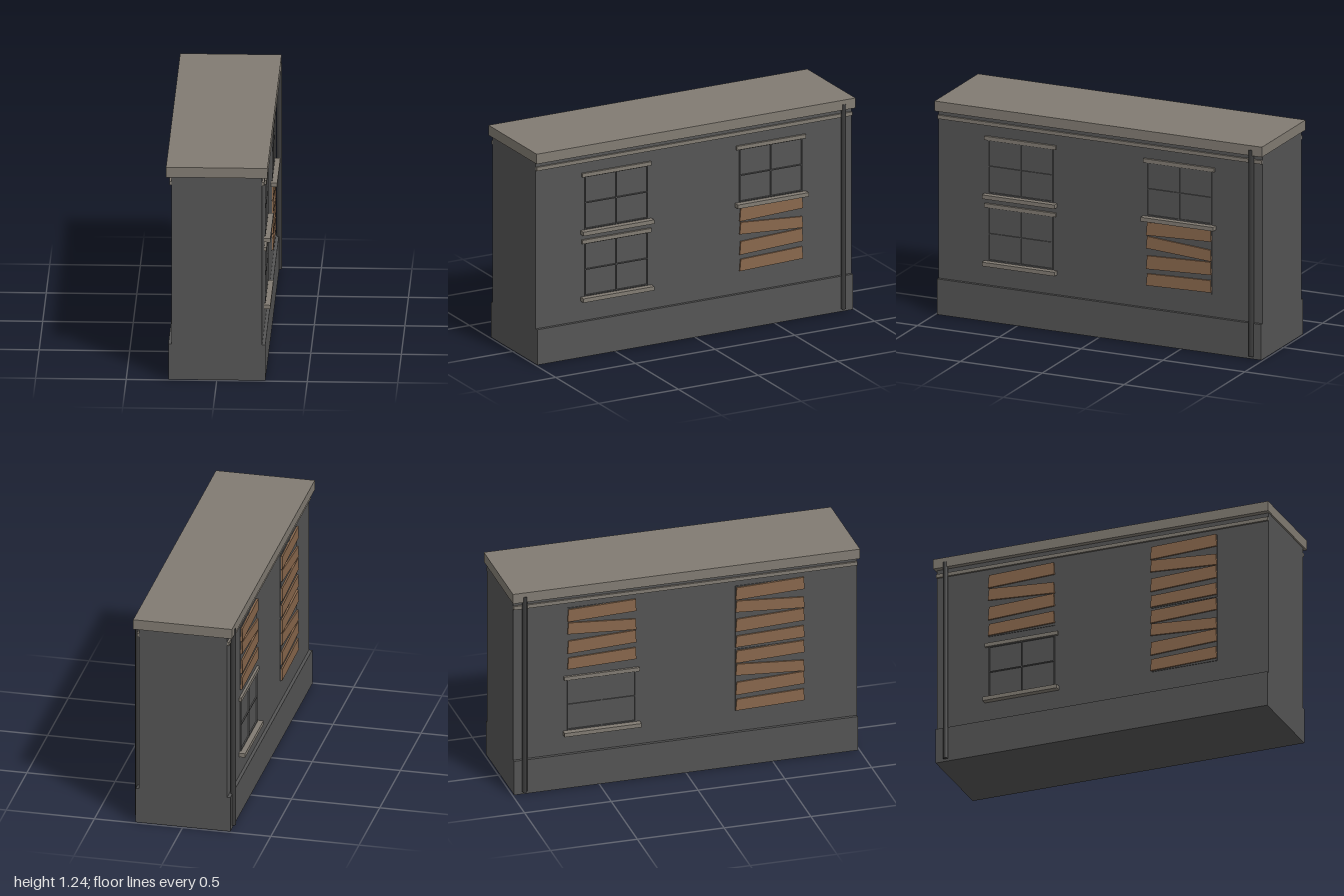
import * as THREE from 'three';

const material = (name, color) => {
  const m = new THREE.MeshStandardMaterial({ color });
  m.name = name;
  return m;
};

export function createModel() {
  const brick = material('dark grey wall', 0x545454);
  const stone = material('weathered stone', 0x817b72);
  const timber = material('board timber', 0x88674c);
  const iron = material('dark iron', 0x3c3c3c);

  const model = new THREE.Group();
  model.name = 'building';

  // Box given by its limits on each axis
  const box = (parent, name, mat, [x0, x1], [y0, y1], [z0, z1]) => {
    const mesh = new THREE.Mesh(new THREE.BoxGeometry(x1 - x0, y1 - y0, z1 - z0), mat);
    mesh.position.set((x0 + x1) / 2, (y0 + y1) / 2, (z0 + z1) / 2);
    mesh.name = name;
    parent.add(mesh);
    return mesh;
  };
  // Limits measured outward from the long wall on one side
  const out = (side, a, b) => (side > 0 ? [a, b] : [-b, -a]);

  // Main masses
  box(model, 'walls', brick, [-0.25, 0.25], [0.206, 1.178], [-0.99, 0.99]);
  box(model, 'plinth', brick, [-0.268, 0.268], [0, 0.206], [-0.99, 0.99]);
  box(model, 'roofSlab', stone, [-0.28, 0.28], [1.178, 1.236], [-1, 1]);

  // Pane frame with one upright and one crossbar, lintel above and sill below
  function addWindow(side, z, y) {
    const g = new THREE.Group();
    g.name = 'window';
    const w = 0.198, h = 0.31, t = 0.006;
    const depth = out(side, 0.249, 0.257);
    for (const u of [-w + t / 2, 0, w - t / 2]) {
      box(g, 'frameUpright', brick, depth, [y, y + h], [z + u - t / 2, z + u + t / 2]);
    }
    for (const v of [t / 2, h / 2, h - t / 2]) {
      box(g, 'frameBar', brick, depth, [y + v - t / 2, y + v + t / 2], [z - w, z + w]);
    }
    box(g, 'lintel', stone, out(side, 0.249, 0.264), [y + h - 0.002, y + h + 0.02], [z - 0.217, z + 0.217]);
    box(g, 'sill', stone, out(side, 0.249, 0.285), [y - 0.027, y - 0.004], [z - 0.222, z + 0.222]);
    model.add(g);
  }

  // Crooked boards: bottom and top heights at the front end, then at the rear end
  const boardHeights = [
    [0.0, 0.068, 0.01, 0.08],
    [0.095, 0.172, 0.112, 0.186],
    [0.215, 0.284, 0.19, 0.255],
    [0.29, 0.365, 0.304, 0.376],
  ];
  function addBoards(side, z, y) {
    const g = new THREE.Group();
    g.name = 'boardedWindow';
    const w = 0.198;
    box(g, 'backing', brick, out(side, 0.249, 0.254), [y - 0.004, y + 0.372], [z - w, z + w]);
    for (const [b0, t0, b1, t1] of boardHeights) {
      const shape = new THREE.Shape();
      shape.moveTo(-w, b0);
      shape.lineTo(w, b1);
      shape.lineTo(w - 0.004, t1);
      shape.lineTo(-w + 0.006, t0);
      const geo = new THREE.ExtrudeGeometry(shape, { depth: 0.01, bevelEnabled: false });
      const board = new THREE.Mesh(geo, timber);
      board.name = 'board';
      board.rotation.y = side * Math.PI / 2;
      board.position.set(side * 0.253, y, z);
      g.add(board);
    }
    model.add(g);
  }

  const LOW = 0.349, HIGH = 0.738;
  const BOARD_LOW = 0.337, BOARD_HIGH = 0.724;

  // Left wall: three windows and one boarded opening
  addWindow(1, 0.487, LOW);
  addWindow(1, 0.487, HIGH);
  addWindow(1, -0.482, HIGH);
  addBoards(1, -0.482, BOARD_LOW);

  // Right wall: one window and three boarded openings
  addWindow(-1, -0.482, LOW);
  addBoards(-1, -0.482, BOARD_HIGH);
  addBoards(-1, 0.487, BOARD_LOW);
  addBoards(-1, 0.487, BOARD_HIGH);

  // Cornice strip and drainpipe on both long walls
  for (const side of [1, -1]) {
    box(model, 'cornice', stone, out(side, 0.249, 0.262), [1.13, 1.151], [-0.99, 0.99]);

    const pipe = new THREE.Mesh(new THREE.CylinderGeometry(0.015, 0.015, 1.195, 8), iron);
    pipe.name = 'drainpipe';
    pipe.position.set(side * 0.27, 0.6125, -0.93);
    model.add(pipe);
  }

  return model;
}
